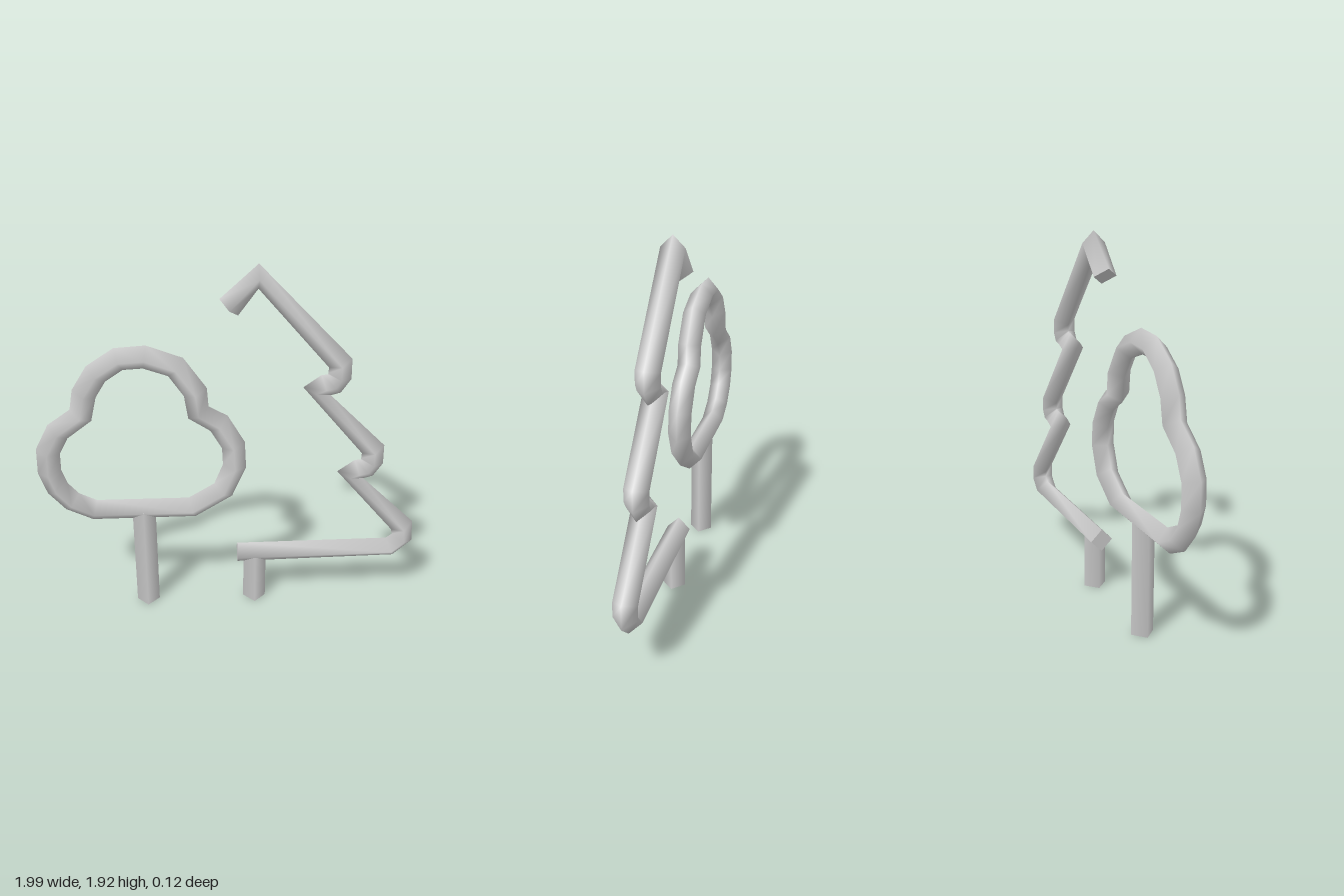
import * as THREE from 'three';

const R = 0.061;

// Four-sided rod swept along a flat path; each ring faces the averaged direction of its neighbours
function rod(points, closed) {
  const p = points.map(([x, y]) => new THREE.Vector3(x, y, 0));
  const n = p.length;
  const dir = i => p[(i + 1) % n].clone().sub(p[i % n]).normalize();
  const pos = [], idx = [];
  p.forEach((c, i) => {
    const t = new THREE.Vector3();
    if (closed || i > 0) t.add(dir((i + n - 1) % n));
    if (closed || i < n - 1) t.add(dir(i));
    t.normalize();
    const sx = -t.y * R, sy = t.x * R;
    pos.push(c.x + sx, c.y + sy, 0, c.x, c.y, R, c.x - sx, c.y - sy, 0, c.x, c.y, -R);
  });
  for (let i = 0; i < (closed ? n : n - 1); i++) {
    const a = i * 4, b = ((i + 1) % n) * 4;
    for (let k = 0; k < 4; k++) {
      const l = (k + 1) % 4;
      idx.push(a + k, a + l, b + l, a + k, b + l, b + k);
    }
  }
  // flat end caps on their own vertices
  if (!closed) {
    const s = pos.length / 3;
    const last = (n - 1) * 12;
    pos.push(...pos.slice(0, 12), ...pos.slice(last, last + 12));
    idx.push(s, s + 2, s + 1, s, s + 3, s + 2);
    idx.push(s + 4, s + 5, s + 6, s + 4, s + 6, s + 7);
  }
  const g = new THREE.BufferGeometry();
  g.setAttribute('position', new THREE.Float32BufferAttribute(pos, 3));
  g.setIndex(idx);
  g.computeVertexNormals();
  return g;
}

export function createModel() {
  const group = new THREE.Group();
  const grey = new THREE.MeshStandardMaterial({ color: 0xcccccc });
  grey.name = 'light grey';

  const add = (name, geometry) => {
    const mesh = new THREE.Mesh(geometry, grey);
    mesh.name = name;
    group.add(mesh);
    return mesh;
  };
  const trunk = (name, x, height) =>
    add(name, new THREE.CylinderGeometry(R, R, height, 4)).position.set(x, height / 2, 0);

  // Round tree: closed three-lobed crown
  add('roundCrown', rod([
    [-0.717, 0.597], [-0.83, 0.653], [-0.9, 0.736], [-0.933, 0.837], [-0.93, 0.955],
    [-0.872, 1.067], [-0.75, 1.157], [-0.725, 1.275], [-0.66, 1.38], [-0.547, 1.456],
    [-0.42, 1.464], [-0.27, 1.408], [-0.176, 1.27], [-0.163, 1.157], [-0.06, 1.093],
    [0.013, 0.965], [0.019, 0.843], [-0.04, 0.7], [-0.205, 0.597],
  ].reverse(), true));
  trunk('roundTreeTrunk', -0.46, 0.6);

  // Pine: open outline with two repeated branch tips
  const tip = [[0.54, 1.41], [0.54, 1.34], [0.515, 1.3], [0.467, 1.29], [0.42, 1.27]];
  const lowerTip = tip.map(([x, y]) => [x + 0.197, y - 0.49]);
  add('pineOutline', rod([
    [-0.01, 1.71], [0.13, 1.86], ...tip, ...lowerTip,
    [0.93, 0.44], [0.936, 0.363], [0.872, 0.304], [0.035, 0.296],
  ], false));
  trunk('pineTrunk', 0.13, 0.296);

  return group;
}
